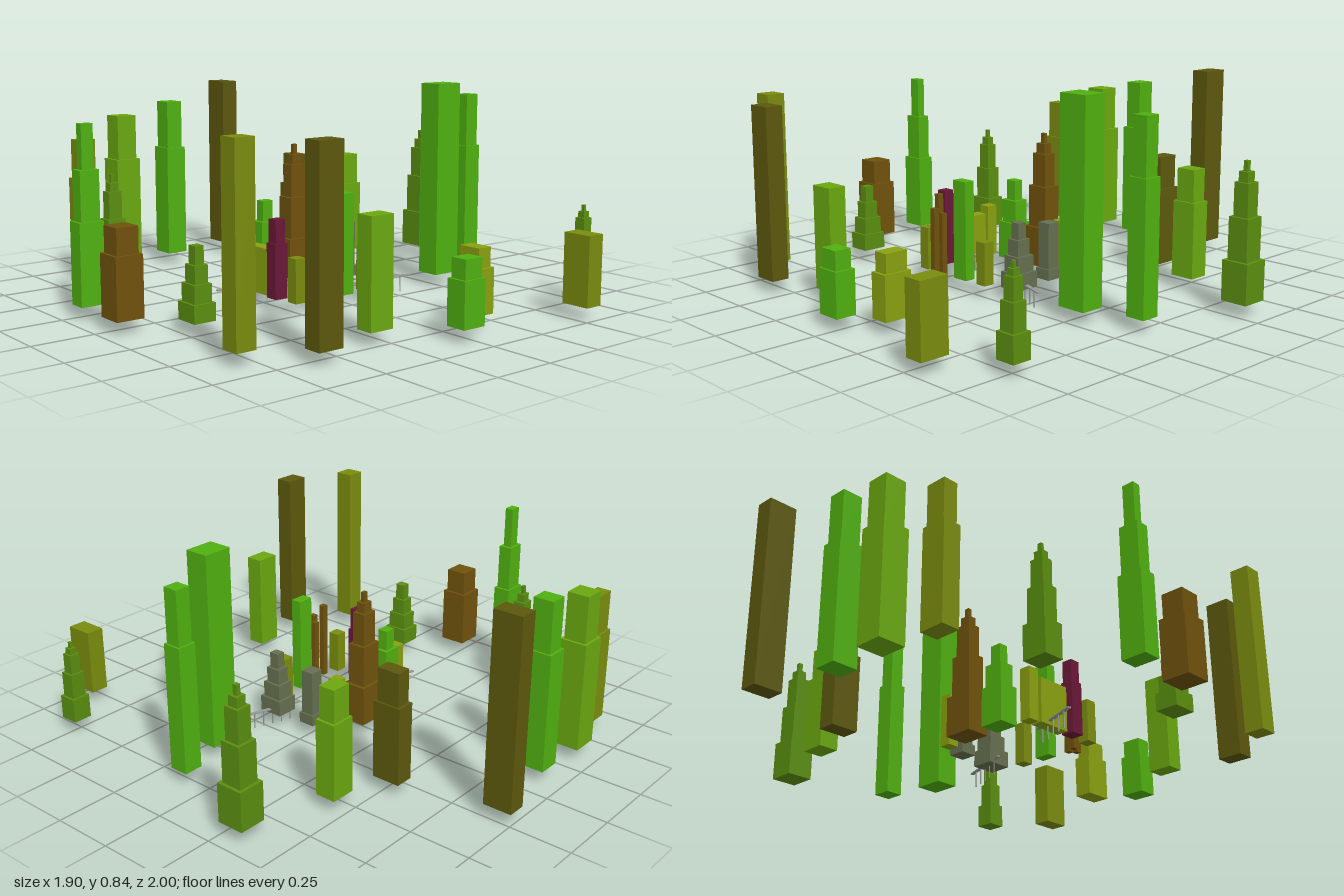
import * as THREE from 'three';

const GROUND = 0.052;

// Tier tops as fractions of the height, with matching width factors
const KINDS = {
  block: { tops: [1], widths: [1] },
  tower: { tops: [0.7, 1], widths: [1, 0.8] },
  steppedTower: { tops: [0.467, 0.75, 1], widths: [1, 0.78, 0.48] },
  ziggurat: { tops: [0.25, 0.5, 0.75, 1], widths: [1, 0.8, 0.6, 0.4] },
  spire: { tops: [0.296, 0.606, 0.85, 0.925, 1], widths: [1, 0.76, 0.56, 0.37, 0.16] },
};

// Footprints: width and depth
const PLANS = {
  big: [0.123, 0.1],
  large: [0.112, 0.112],
  square: [0.092, 0.104],
  broad: [0.102, 0.085],
  wide: [0.102, 0.074],
  deep: [0.076, 0.118],
  compact: [0.08, 0.078],
  hall: [0.05, 0.145],
  flat: [0.07, 0.045],
  plinth: [0.07, 0.07],
  slight: [0.056, 0.056],
  small: [0.048, 0.048],
  slim: [0.024, 0.024],
};

const paint = (color) => new THREE.MeshStandardMaterial({ color });
const GREEN = paint('#50b010');
const LIME = paint('#6aa810');
const MOSS = paint('#5a8e10');
const OLIVE = paint('#7a8c0e');
const YELLOW = paint('#8aa010');
const UMBER = paint('#5c580d');
const BROWN = paint('#70520c');
const PLUM = paint('#6a1838');
const SLATE = paint('#667050');
const STEEL = paint('#999999');

function box(name, w, h, d, x, y, z, material) {
  const mesh = new THREE.Mesh(new THREE.BoxGeometry(w, h, d), material);
  mesh.name = name;
  mesh.position.set(x, y, z);
  return mesh;
}

// A building of stacked, shrinking blocks
function makeBuilding(kind, plan, material, x, z, top) {
  const building = new THREE.Group();
  building.name = kind;
  building.position.set(x, GROUND, z);
  const { tops, widths } = KINDS[kind];
  const [w, d] = PLANS[plan];
  let low = 0;
  tops.forEach((fraction, i) => {
    const high = fraction * (top - GROUND);
    building.add(box('tier', w * widths[i], high - low, d * widths[i], 0, (low + high) / 2, 0, material));
    low = high;
  });
  return building;
}

// A slim deck carried on a row of thin posts
function makePier(x, z) {
  const pier = new THREE.Group();
  pier.name = 'pier';
  pier.position.set(x, 0, z);
  pier.rotation.y = -0.33;
  pier.add(box('deck', 0.246, 0.005, 0.015, 0, 0.068, 0, STEEL));
  for (let i = -2; i <= 2; i++) {
    pier.add(box('post', 0.004, 0.066, 0.004, i * 0.041, 0.033, 0, STEEL));
  }
  return pier;
}

export function createModel() {
  const city = new THREE.Group();
  city.name = 'city';
  const add = (...spec) => city.add(makeBuilding(...spec));

  // Outer ring, back
  add('tower', 'wide', OLIVE, -0.58, -0.835, 0.6);
  add('tower', 'large', LIME, -0.36, -0.89, 0.685);
  add('tower', 'square', GREEN, -0.12, -0.88, 0.735);
  add('block', 'deep', UMBER, 0.215, -0.945, 0.81);
  add('tower', 'deep', UMBER, 0.315, -0.52, 0.5);
  add('tower', 'broad', LIME, 0.537, -0.43, 0.49);
  add('spire', 'broad', MOSS, -0.665, -0.443, 0.5);

  // Outer ring, sides
  add('steppedTower', 'wide', GREEN, -0.9, -0.22, 0.735);
  add('tower', 'large', BROWN, -0.9, 0.03, 0.39);
  add('ziggurat', 'square', MOSS, -0.71, 0.225, 0.325);
  add('spire', 'large', MOSS, 0.89, -0.305, 0.585);
  add('tower', 'compact', GREEN, 0.757, 0.115, 0.785);
  add('block', 'big', GREEN, 0.525, 0.19, 0.845);

  // Outer ring, front
  add('block', 'compact', OLIVE, -0.81, 0.627, 0.755);
  add('block', 'wide', UMBER, -0.585, 0.79, 0.745);
  add('block', 'wide', LIME, -0.295, 0.713, 0.46);
  add('tower', 'broad', GREEN, -0.02, 0.883, 0.3);
  add('tower', 'deep', YELLOW, 0.145, 0.765, 0.3);
  add('block', 'deep', OLIVE, 0.545, 0.935, 0.325);
  add('spire', 'compact', MOSS, 0.763, 0.757, 0.385);

  // Centre
  add('steppedTower', 'broad', GREEN, -0.15, -0.122, 0.385);
  add('spire', 'big', BROWN, 0.01, -0.135, 0.6);
  add('ziggurat', 'square', SLATE, 0.185, 0.175, 0.31);
  add('block', 'plinth', SLATE, 0.173, 0, 0.095);
  add('block', 'slight', SLATE, 0.173, 0, 0.28);
  add('tower', 'slight', PLUM, -0.287, 0.14, 0.36);
  add('block', 'hall', YELLOW, -0.273, 0.025, 0.235);
  add('block', 'flat', GREEN, -0.05, 0.25, 0.45);

  // Small blocks around the centre
  add('block', 'small', YELLOW, 0.14, -0.105, 0.265);
  add('block', 'small', YELLOW, -0.267, -0.08, 0.265);
  for (const x of [-0.273, 0.067]) add('block', 'small', OLIVE, x, 0.245, 0.225);

  // Cluster of thin towers
  add('block', 'slim', BROWN, -0.193, 0.255, 0.375);
  add('block', 'slim', BROWN, -0.174, 0.295, 0.325);
  add('block', 'slim', BROWN, -0.155, 0.27, 0.305);

  city.add(makePier(-0.322, -0.01), makePier(0.22, 0.175));
  return city;
}
